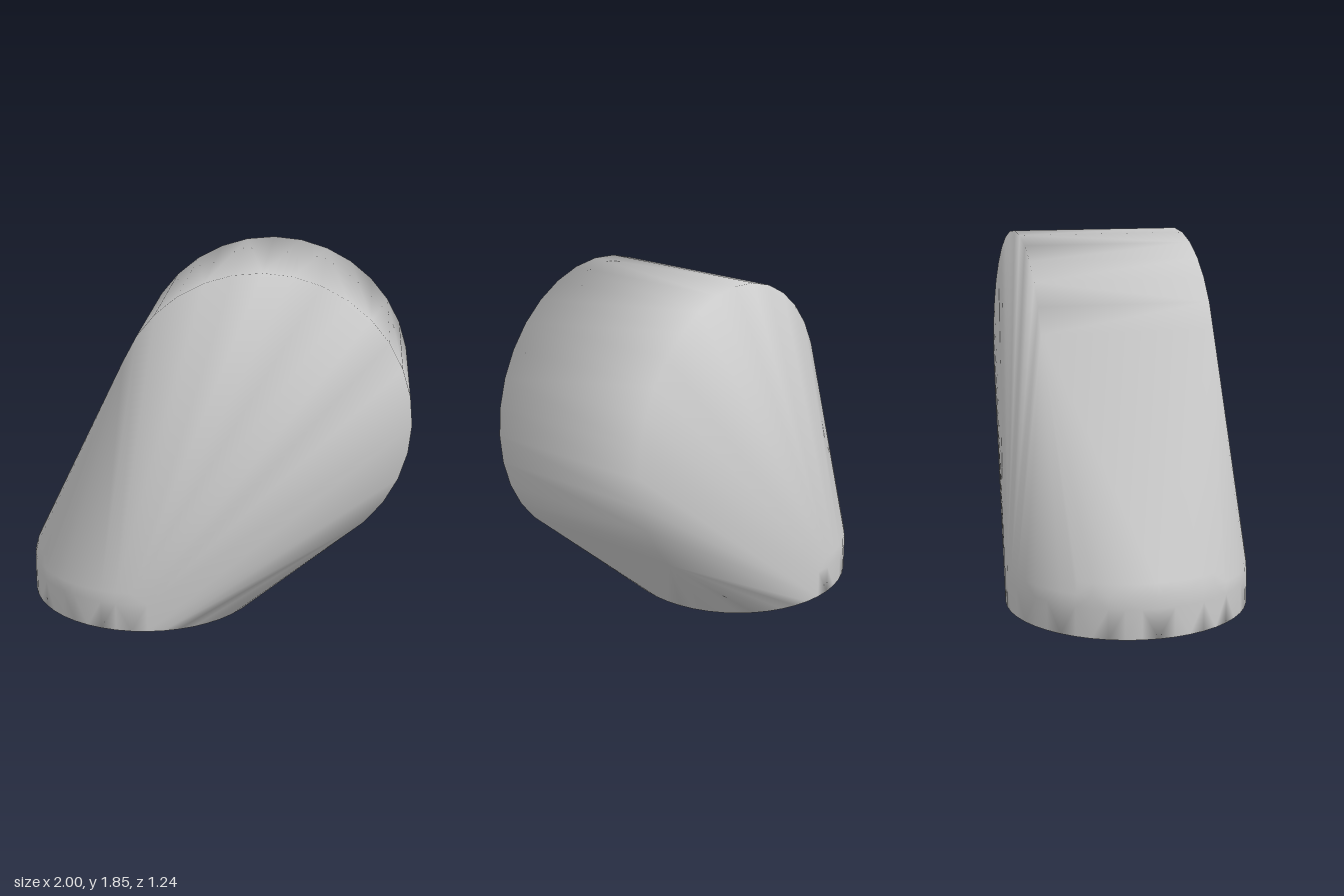
import * as THREE from 'three';
import { ConvexGeometry } from 'three/addons/geometries/ConvexGeometry.js';
import { mergeVertices } from 'three/addons/utils/BufferGeometryUtils.js';

// points of a circle, each placed by the given function of (cos, sin)
function ring(count, place) {
  return Array.from({ length: count }, (_, i) => {
    const a = (i / count) * Math.PI * 2;
    return place(Math.cos(a), Math.sin(a));
  });
}

export function createModel() {
  const group = new THREE.Group();
  group.name = 'taperedHousing';
  const points = [];

  // upright round foot, slightly softened at its upper edge: [height, radius]
  for (const [y, r] of [[0, 0.62], [0.15, 0.62], [0.21, 0.617], [0.27, 0.6]]) {
    points.push(...ring(48, (c, s) => new THREE.Vector3(-0.38 + r * c, y, r * s)));
  }

  // thick upper disc lying on a front-to-back axis
  for (const z of [-0.44, 0.44]) {
    points.push(...ring(32, (c, s) => new THREE.Vector3(0.26 + 0.74 * c, 1.105 + 0.74 * s, z)));
  }

  // one skin stretched over foot and disc, smoothly shaded throughout
  const hull = new ConvexGeometry(points);
  hull.deleteAttribute('normal');
  const skin = mergeVertices(hull, 1e-4);
  skin.computeVertexNormals();

  const body = new THREE.Mesh(skin, new THREE.MeshStandardMaterial({ color: 0xcccccc }));
  body.name = 'body';
  group.add(body);
  return group;
}
